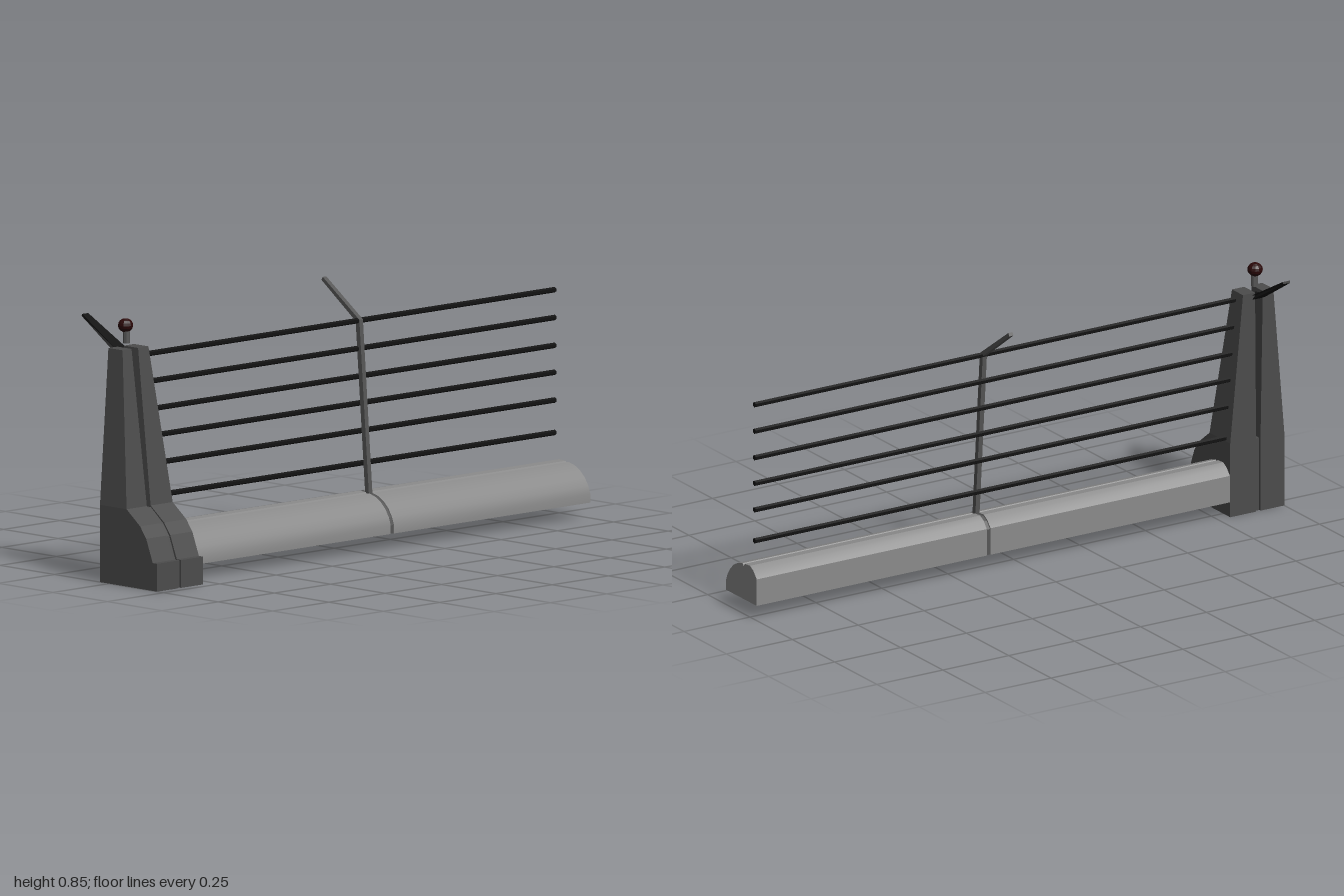
import * as THREE from 'three';
import { toCreasedNormals } from 'three/addons/utils/BufferGeometryUtils.js';

const mat = (color, flatShading = true) => new THREE.MeshStandardMaterial({ color, flatShading });
const concrete = mat(0x4c4c4c);
const wall = mat(0x8a8a8a, false);
const steel = mat(0x555555);
const black = mat(0x111111);
const lampRed = mat(0x2a0808);

// Extrude an xy outline (counter-clockwise) between two z limits, which may vary with x and y
function slab(points, zLow, zHigh) {
  const shape = new THREE.Shape(points.map(([x, y]) => new THREE.Vector2(x, y)));
  const geo = new THREE.ExtrudeGeometry(shape, { depth: 1, bevelEnabled: false });
  const p = geo.attributes.position;
  for (let i = 0; i < p.count; i++) {
    const at = (f) => (typeof f === 'function' ? f(p.getX(i), p.getY(i)) : f);
    p.setZ(i, p.getZ(i) < 0.5 ? at(zLow) : at(zHigh));
  }
  geo.computeVertexNormals();
  return geo;
}

export function createModel() {
  const model = new THREE.Group();
  const add = (name, geo, material, parent = model) => {
    const mesh = new THREE.Mesh(geo, material);
    mesh.name = name;
    parent.add(mesh);
    return mesh;
  };

  // End post: two tapering halves with an open slot between them
  const post = new THREE.Group();
  post.name = 'endPost';
  model.add(post);
  const base = [[-0.042, 0], [0.22, 0], [0.22, 0.09], [0.2, 0.09], [0.17, 0.165],
    [0.142, 0.202], [0.08, 0.25], [-0.042, 0.25]];
  const tower = [[-0.042, 0.25], [0.08, 0.25], [0.01, 0.75], [-0.055, 0.75]];
  const taper = (from, to) => (x, y) => from + (to - from) * (y - 0.25) / 0.5;
  add('frontBase', slab(base, 0.91, 1), concrete, post);
  add('rearBase', slab(base, 0.795, 0.893), concrete, post);
  add('frontTower', slab(tower, 0.91, taper(1, 0.95)), concrete, post);
  add('rearTower', slab(tower, taper(0.795, 0.835), taper(0.893, 0.881)), concrete, post);
  // Recessed strip joining the two bases
  const core = base.map(([x, y]) => [0.09 + (x - 0.09) * 0.94, y * 0.98]);
  add('baseCore', slab(core, 0.89, 0.912), concrete, post);

  // Low rounded wall in two lengths, with a groove along its top
  const profile = [[-0.04, 0.05], [0.143, 0.05], [0.143, 0.078], [0.134, 0.103], [0.118, 0.128],
    [0.096, 0.149], [0.07, 0.163], [0.043, 0.17], [0.036, 0.162], [0.03, 0.172],
    [0, 0.174], [-0.02, 0.163], [-0.04, 0.14]];
  for (const [name, z0, z1] of [['rearWall', -1, -0.127], ['frontWall', -0.113, 0.8]]) {
    add(name, toCreasedNormals(slab(profile, z0, z1), 0.45), wall);
  }
  // Recessed joint between the lengths
  const joint = profile.map(([x, y]) => [0.05 + (x - 0.05) * 0.96, 0.05 + (y - 0.05) * 0.96]);
  add('wallJoint', slab(joint, -0.128, -0.112), steel);

  // Leaning support with an outward-bent top
  const support = [[0.028, 0.15], [0.045, 0.15], [0, 0.726], [-0.168, 0.845],
    [-0.174, 0.835], [-0.017, 0.72]];
  add('fenceSupport', slab(support, -0.128, -0.112), steel);

  // Horizontal wires
  const wires = new THREE.Group();
  wires.name = 'wires';
  model.add(wires);
  for (const y of [0.26, 0.365, 0.455, 0.542, 0.632, 0.722]) {
    const geo = new THREE.CylinderGeometry(0.009, 0.009, 1.85, 6).rotateX(Math.PI / 2);
    add('wire', geo, black, wires).position.set(-0.01, y, -0.065);
  }

  // Tapered arm leaning outward from the slot
  const arm = [[-0.222, 0.829], [-0.05, 0.725], [-0.02, 0.722], [-0.02, 0.738],
    [-0.05, 0.74], [-0.219, 0.836]];
  const halfWidth = (x) => (x > -0.03 ? 0.012 : 0.013 + 0.011 * (x + 0.222) / 0.172);
  add('outwardArm', slab(arm, (x) => 0.894 - halfWidth(x), (x) => 0.894 + halfWidth(x)), black);

  // Lamp on a short stem
  add('lampStem', new THREE.CylinderGeometry(0.011, 0.011, 0.045, 8), steel)
    .position.set(-0.029, 0.785, 0.895);
  const lamp = add('lamp', new THREE.SphereGeometry(0.025, 12, 8), lampRed);
  lamp.scale.y = 0.9;
  lamp.position.set(-0.033, 0.82, 0.895);

  return model;
}
